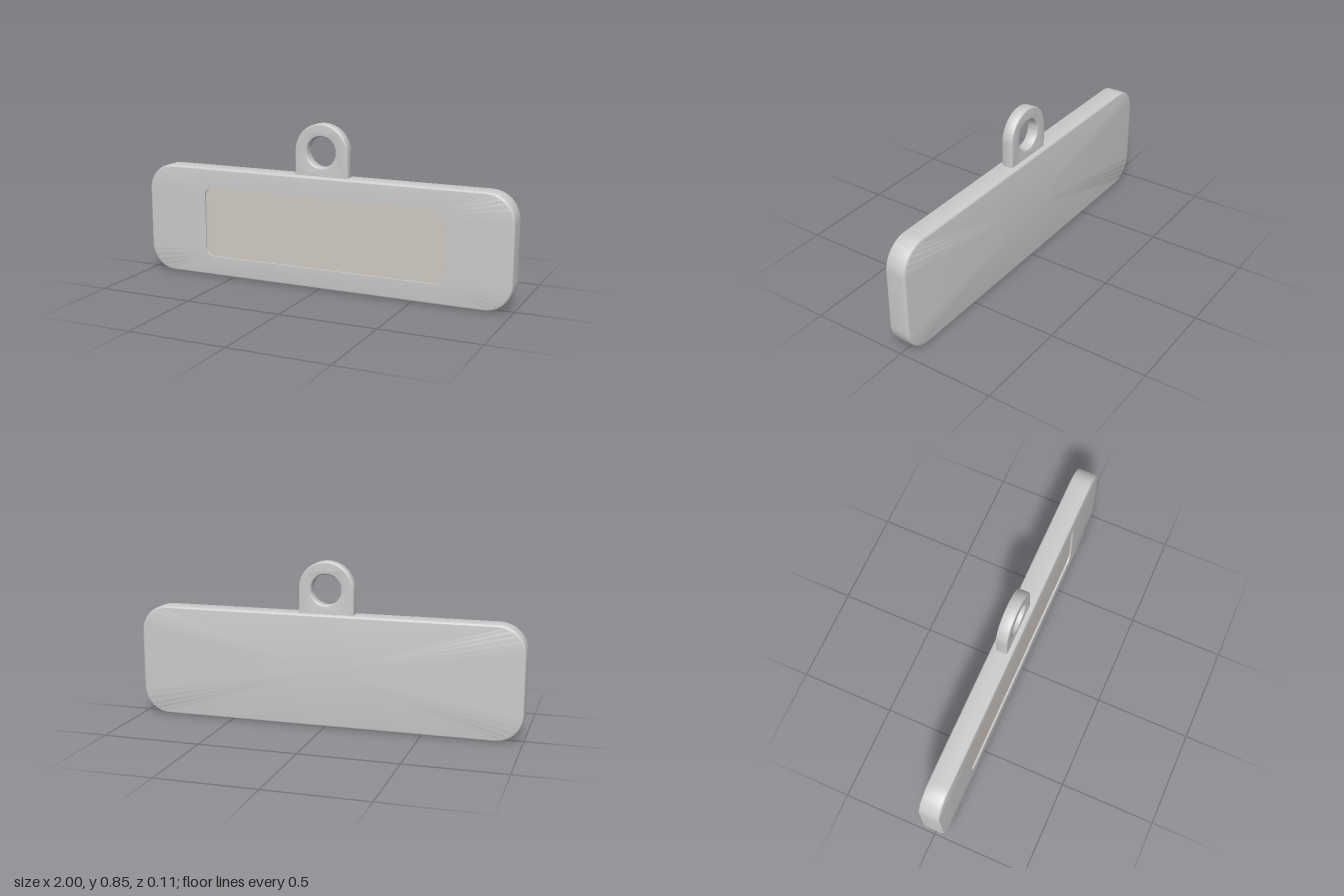
import * as THREE from 'three';
import { toCreasedNormals } from 'three/addons/utils/BufferGeometryUtils.js';

const CREASE = 0.6;
const MID_Y = 0.29;           // middle height of the plate
const HALF_DEPTH = 0.055;
const RECESS = 0.01;
const PANEL = [0.66, 0.185, 0.045]; // half width, half height, corner radius

// Counter-clockwise outline of a rounded rectangle, always with the same point count
function roundedRect(hw, hh, r, steps = 12) {
  const points = [];
  for (let c = 0; c < 4; c++) {
    const sx = c === 0 || c === 3 ? 1 : -1;
    const sy = c < 2 ? 1 : -1;
    for (let i = 0; i <= steps; i++) {
      const a = (c + i / steps) * Math.PI / 2;
      points.push(new THREE.Vector2(
        sx * (hw - r) + r * Math.cos(a),
        sy * (hh - r) + r * Math.sin(a)));
    }
  }
  return points;
}

// Skin over a list of outlines { points, z }, with a flat cap on the first one
function loft(rings) {
  const n = rings[0].points.length;
  const positions = [0, 0, rings[0].z];
  const index = [];
  for (const { points, z } of rings) for (const p of points) positions.push(p.x, p.y, z);
  for (let i = 0; i < n; i++) {
    const j = (i + 1) % n;
    index.push(0, 1 + j, 1 + i);
    for (let k = 0; k < rings.length - 1; k++) {
      const a = 1 + k * n + i, b = 1 + k * n + j;
      index.push(a, b, b + n, a, b + n, a + n);
    }
  }
  const geometry = new THREE.BufferGeometry();
  geometry.setAttribute('position', new THREE.Float32BufferAttribute(positions, 3));
  geometry.setIndex(index);
  return toCreasedNormals(geometry, CREASE);
}

export function createModel() {
  const group = new THREE.Group();
  const grey = new THREE.MeshStandardMaterial({ color: 0xcccccc });
  const warm = new THREE.MeshStandardMaterial({ color: 0xd1cac2 });

  const add = (name, geometry, material, y, z = 0) => {
    const mesh = new THREE.Mesh(geometry, material);
    mesh.name = name;
    mesh.position.set(0, y, z);
    group.add(mesh);
  };

  // Plate: rounded edges front and back, with a shallow recess in the front
  const fillet = 0.012, steps = 5;
  const rings = [];
  for (const side of [-1, 1]) {
    for (let i = 0; i <= steps; i++) {
      const a = (side < 0 ? i : steps - i) / steps * Math.PI / 2;
      const inset = fillet * (1 - Math.sin(a));
      rings.push({
        points: roundedRect(1 - inset, MID_Y - inset, 0.14 - inset),
        z: side * (HALF_DEPTH - fillet + fillet * Math.cos(a)),
      });
    }
  }
  rings.push({ points: roundedRect(...PANEL), z: HALF_DEPTH });
  rings.push({ points: roundedRect(...PANEL), z: HALF_DEPTH - RECESS });
  add('plate', loft(rings), grey, MID_Y);

  // Inset panel forming the floor of the recess
  add('insetPanel', new THREE.ShapeGeometry(new THREE.Shape(roundedRect(...PANEL))),
    warm, MID_Y, HALF_DEPTH - RECESS);

  // Hanging lug: round-topped tab with a hole, rooted in the plate
  const radius = 0.143, bevel = 0.008, halfThick = 0.03;
  const tab = new THREE.Shape();
  tab.moveTo(-radius, -0.16);
  tab.lineTo(radius, -0.16);
  tab.lineTo(radius, 0);
  tab.absarc(0, 0, radius, 0, Math.PI, false);
  tab.closePath();
  const hole = new THREE.Path();
  hole.absarc(0, 0, 0.07 + bevel, 0, Math.PI * 2, true);
  tab.holes.push(hole);
  const lug = new THREE.ExtrudeGeometry(tab, {
    depth: 2 * (halfThick - bevel), curveSegments: 32,
    bevelThickness: bevel, bevelSize: bevel, bevelOffset: -bevel, bevelSegments: 4,
  });
  // The offset also widens the hole, so its narrowest radius is the drawn one
  lug.translate(0, 0, -(halfThick - bevel));
  add('hangingLug', toCreasedNormals(lug, CREASE), grey, 0.702);

  return group;
}
